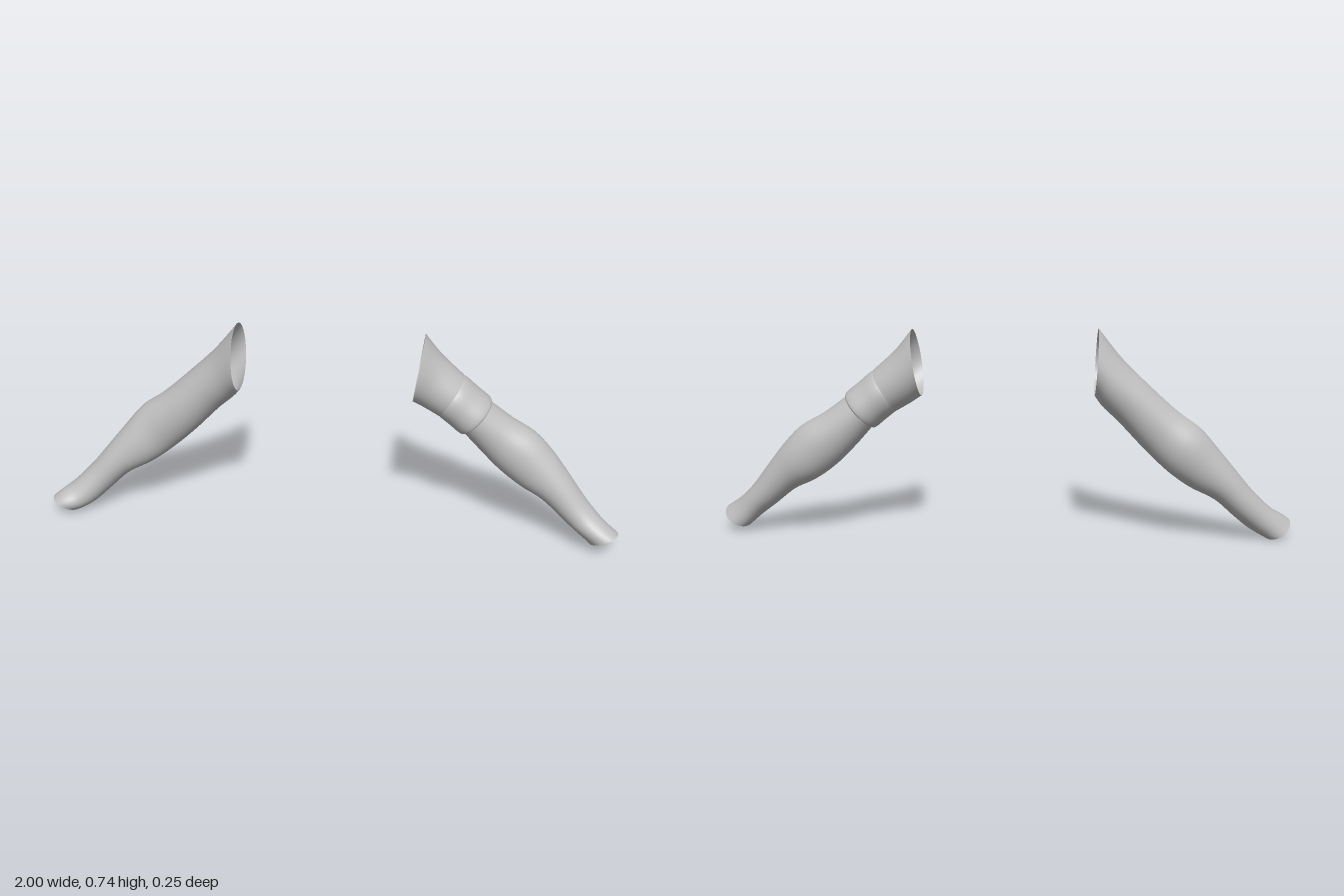
import * as THREE from 'three';

const cloth = new THREE.MeshStandardMaterial({ color: 0xc0c0c0, side: THREE.DoubleSide });
cloth.name = 'grey cloth';

// Each section: [topX, topY, frontZ, bottomX, bottomY, backZ]
const rightSleeveSections = [
  [-0.318, 0.74, 0.115, -0.307, 0.513, -0.122],
  [-0.40, 0.64, 0.085, -0.33, 0.482, -0.115],
  [-0.48, 0.562, 0.066, -0.385, 0.43, -0.105],
  [-0.59, 0.463, 0.055, -0.475, 0.335, -0.097],
  [-0.67, 0.404, 0.05, -0.56, 0.255, -0.10],
  [-0.73, 0.335, 0.06, -0.635, 0.2, -0.088],
  [-0.80, 0.25, 0.068, -0.725, 0.152, -0.07],
  [-0.86, 0.178, 0.077, -0.79, 0.094, -0.052],
  [-0.93, 0.11, 0.098, -0.85, 0.042, -0.03],
  [-0.97, 0.082, 0.115, -0.89, 0.018, -0.018],
  [-1.0, 0.058, 0.12, -0.912, 0.008, -0.012],
];
const shoulderSections = [
  [0.313, 0.735, 0.105, 0.28, 0.51, -0.128],
  [0.37, 0.665, 0.08, 0.315, 0.487, -0.117],
  [0.446, 0.596, 0.07, 0.366, 0.457, -0.104],
];
const bandSections = [
  [0.425, 0.6, 0.066, 0.355, 0.468, -0.10],
  [0.45, 0.592, 0.073, 0.37, 0.455, -0.106],
  [0.495, 0.555, 0.073, 0.405, 0.427, -0.106],
  [0.54, 0.517, 0.073, 0.443, 0.398, -0.106],
  [0.544, 0.508, 0.067, 0.452, 0.405, -0.099],
];
const leftSleeveSections = [
  [0.52, 0.52, 0.064, 0.437, 0.418, -0.096],
  [0.62, 0.447, 0.055, 0.51, 0.335, -0.096],
  [0.70, 0.40, 0.06, 0.58, 0.265, -0.094],
  [0.76, 0.34, 0.065, 0.655, 0.21, -0.085],
  [0.82, 0.265, 0.072, 0.73, 0.172, -0.062],
  [0.89, 0.174, 0.085, 0.81, 0.107, -0.037],
  [0.944, 0.12, 0.105, 0.87, 0.06, -0.018],
  [1.0, 0.077, 0.12, 0.906, 0.03, -0.01],
];

// Smooth open tube through oval sections; tilt raises the front of its last rings
function loft(name, sections, tilt = 0, steps = 5, sides = 32) {
  const top = new THREE.CatmullRomCurve3(sections.map(s => new THREE.Vector3(s[0], s[1], s[2])));
  const bottom = new THREE.CatmullRomCurve3(sections.map(s => new THREE.Vector3(s[3], s[4], s[5])));
  const rings = (sections.length - 1) * steps;
  const outward = sections[0][0] > 0;
  const positions = [], indices = [];
  for (let i = 0; i <= rings; i++) {
    const t = i / rings;
    const a = top.getPoint(t), b = bottom.getPoint(t);
    const centre = a.clone().add(b).multiplyScalar(0.5);
    const half = a.clone().sub(b).multiplyScalar(0.5);
    const lift = tilt * THREE.MathUtils.smoothstep(t, 0.75, 1);
    for (let j = 0; j < sides; j++) {
      const angle = j / sides * Math.PI * 2;
      const c = Math.cos(angle), s = Math.sin(angle);
      positions.push(centre.x + half.x * c, centre.y + half.y * c + lift * s, centre.z + half.z * s);
      if (i === rings) continue;
      const k = i * sides + j, n = i * sides + (j + 1) % sides;
      if (outward) indices.push(k, n, k + sides, n, n + sides, k + sides);
      else indices.push(k, k + sides, n, n, k + sides, n + sides);
    }
  }
  const geometry = new THREE.BufferGeometry();
  geometry.setAttribute('position', new THREE.Float32BufferAttribute(positions, 3));
  geometry.setIndex(indices);
  geometry.computeVertexNormals();
  const mesh = new THREE.Mesh(geometry, cloth);
  mesh.name = name;
  return mesh;
}

export function createModel() {
  const model = new THREE.Group();
  model.name = 'sleeves';

  // One long plain sleeve
  model.add(loft('rightSleeve', rightSleeveSections, 0.015));

  // The other sleeve: shoulder cap, raised band and lower sleeve
  const left = new THREE.Group();
  left.name = 'leftSleeve';
  left.add(
    loft('shoulderCap', shoulderSections),
    loft('armBand', bandSections),
    loft('lowerSleeve', leftSleeveSections, 0.018),
  );
  model.add(left);
  return model;
}
